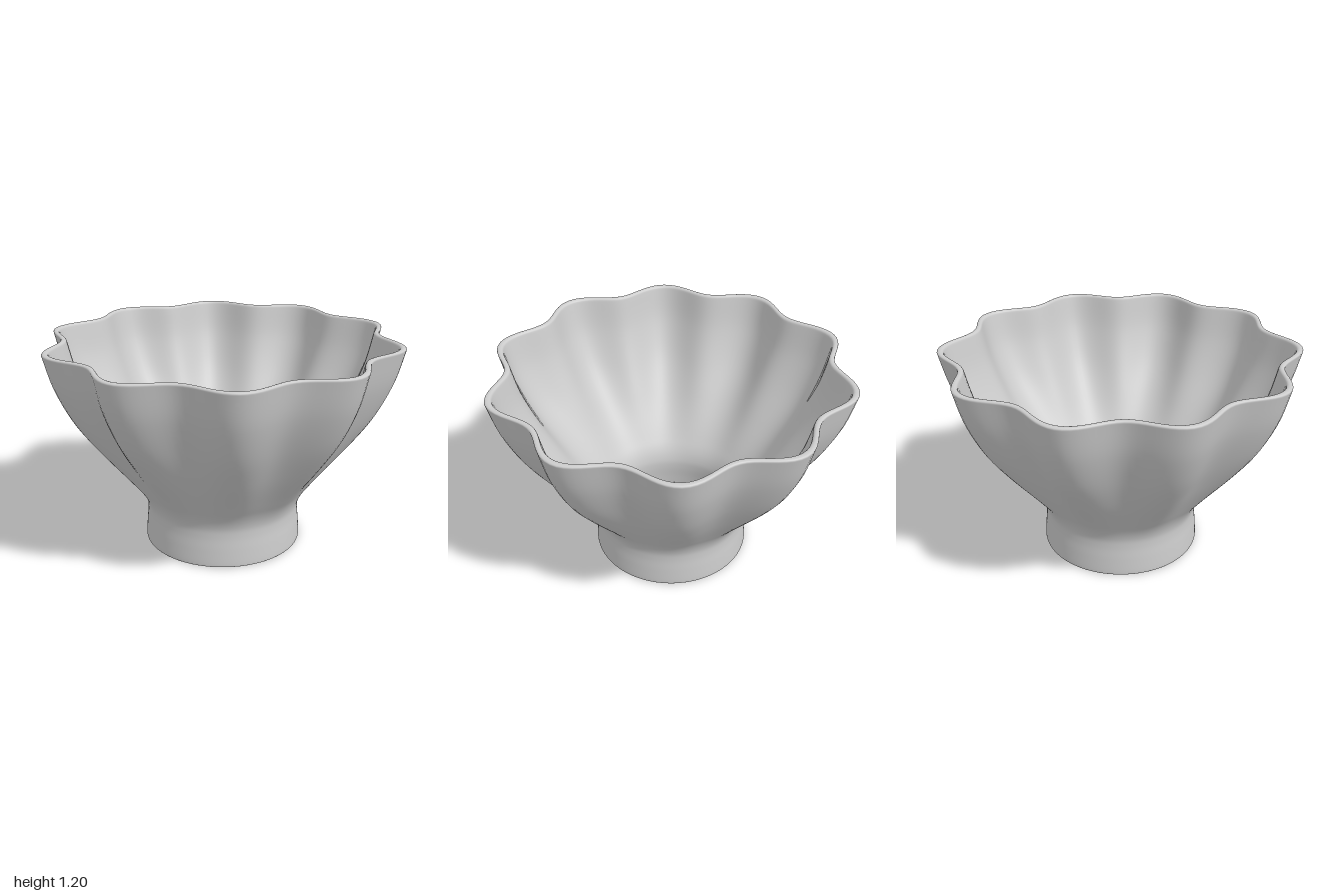
import * as THREE from 'three';
import { mergeVertices } from 'three/addons/utils/BufferGeometryUtils.js';

const LOBES = 10;
const FLUTE = 0.058; // flute depth relative to the radius
const TOP = 1.2;

// Smooth curve through [radius, height] pairs
function curve(pairs, divisions) {
  const points = pairs.map(([r, y]) => new THREE.Vector2(r, y));
  return new THREE.SplineCurve(points).getPoints(divisions);
}

// Shallow dome from the centre out to radius r
function dome(r, edgeY, height) {
  const points = [];
  for (let i = 0; i <= 14; i++) {
    const t = i / 14;
    points.push(new THREE.Vector2(r * t, edgeY + height * (1 - t * t)));
  }
  return points;
}

// Press the flutes into the wall, fading out above the foot
function flute(geometry) {
  const p = geometry.attributes.position;
  for (let i = 0; i < p.count; i++) {
    const x = p.getX(i), z = p.getZ(i);
    const fade = THREE.MathUtils.smoothstep(p.getY(i), 0.18, 0.85);
    const k = 1 + FLUTE * fade * Math.cos(LOBES * Math.atan2(z, x));
    p.setX(i, x * k);
    p.setZ(i, z * k);
  }
}

export function createModel() {
  const group = new THREE.Group();
  group.name = 'flutedBowl';

  // Hollow underside of the foot
  const underside = dome(0.425, 0.004, 0.1);

  // Foot edge, waist and flared outer wall
  const outer = curve([
    [0.44, 0], [0.453, 0.003], [0.458, 0.015], [0.452, 0.1], [0.445, 0.18], [0.449, 0.24],
    [0.478, 0.31], [0.54, 0.4], [0.682, 0.6], [0.806, 0.8], [0.895, 1.0], [0.943, 1.185],
  ], 60);

  // Rounded lip
  const lip = curve([
    [0.944, 1.19], [0.941, 1.197], [0.928, TOP], [0.915, 1.197], [0.909, 1.188],
  ], 8);

  // Inner wall down to the floor
  const inner = curve([
    [0.907, 1.18], [0.859, 1.0], [0.768, 0.8], [0.642, 0.6], [0.5, 0.4],
    [0.44, 0.31], [0.413, 0.24], [0.408, 0.18], [0.414, 0.1], [0.418, 0.045],
  ], 54);

  // Domed floor inside
  const floor = dome(0.418, 0.035, 0.1).reverse();

  let body = new THREE.LatheGeometry([...underside, ...outer, ...lip, ...inner, ...floor], 180);
  flute(body);
  body.deleteAttribute('uv');
  body.deleteAttribute('normal');
  body = mergeVertices(body, 1e-5);
  body.computeVertexNormals();

  const bowl = new THREE.Mesh(body, new THREE.MeshStandardMaterial({ color: 0xcccccc }));
  bowl.name = 'bowl';
  group.add(bowl);
  return group;
}
